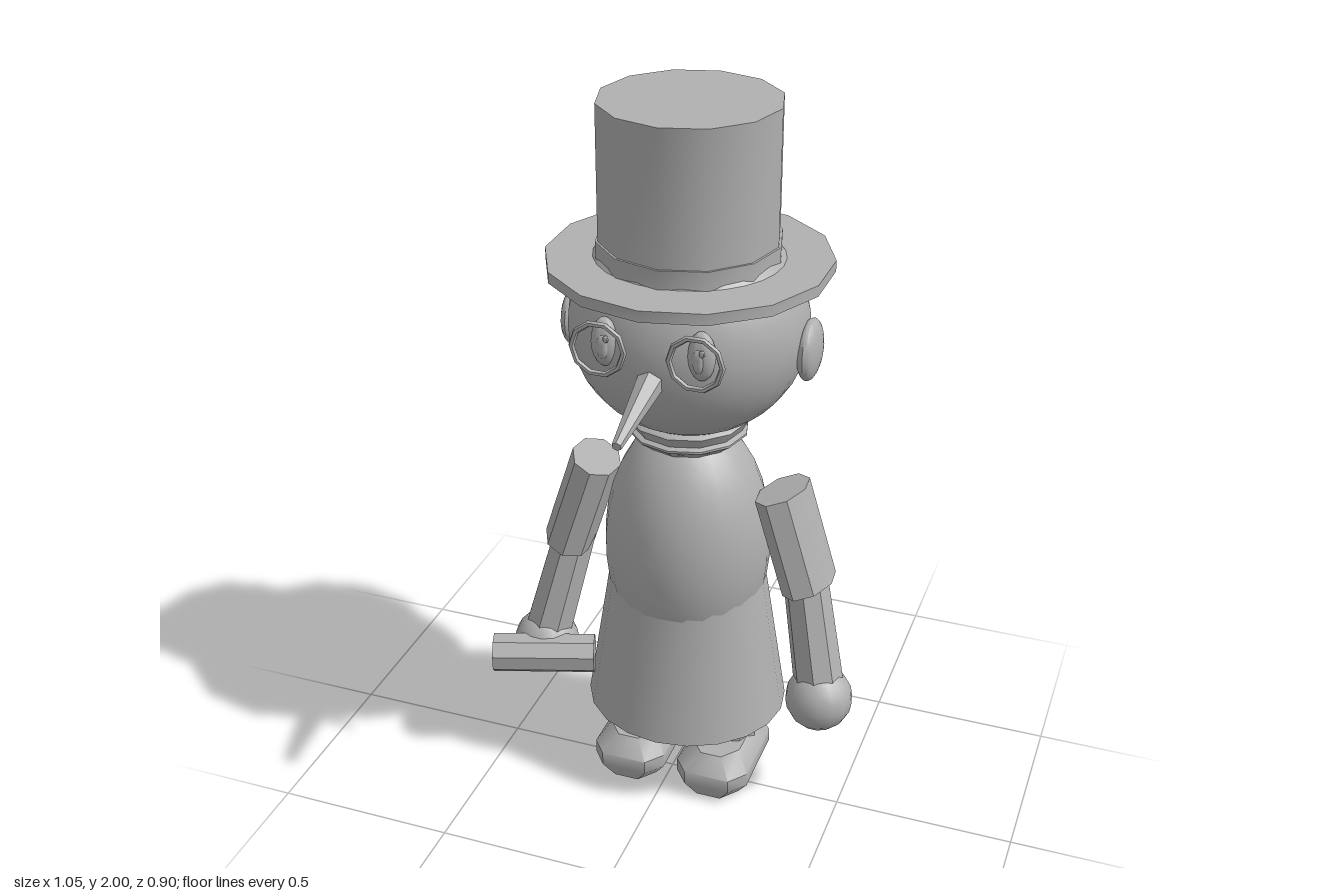
import * as THREE from 'three';
import { toCreasedNormals } from 'three/addons/utils/BufferGeometryUtils.js';
import { ConvexGeometry } from 'three/addons/geometries/ConvexGeometry.js';

const CX = 0.018, CZ = -0.075; // axis of the body

export function createModel() {
  const model = new THREE.Group();
  model.name = 'figure';
  const grey = new THREE.MeshStandardMaterial({ color: 0xb0b0b0 });
  grey.name = 'grey';

  const add = (name, geo, x = 0, y = 0, z = 0) => {
    const mesh = new THREE.Mesh(toCreasedNormals(geo, 0.7), grey);
    mesh.name = name;
    mesh.position.set(x, y, z);
    model.add(mesh);
    return mesh;
  };
  const ball = (name, x, y, z, rx, ry, rz, seg = 20) =>
    add(name, new THREE.SphereGeometry(1, seg, Math.round(seg * 0.7)).scale(rx, ry, rz), x, y, z);
  const drum = (name, rTop, rBottom, y0, y1, sides) =>
    add(name, new THREE.CylinderGeometry(rTop, rBottom, y1 - y0, sides), CX, (y0 + y1) / 2, CZ);
  // Tapered rod running from point a to point b
  const rod = (name, a, b, ra, rb, sides, depth = 1) => {
    const from = new THREE.Vector3(...a), to = new THREE.Vector3(...b);
    const dir = to.clone().sub(from);
    const geo = new THREE.CylinderGeometry(rb, ra, dir.length(), sides).scale(1, 1, depth);
    const mesh = add(name, geo);
    mesh.position.copy(from).add(to).multiplyScalar(0.5);
    mesh.quaternion.setFromUnitVectors(new THREE.Vector3(0, 1, 0), dir.normalize());
    return mesh;
  };

  // Top hat
  drum('hatBrim', 0.372, 0.372, 1.565, 1.595, 14);
  drum('hatBand', 0.241, 0.241, 1.59, 1.645, 12);
  drum('hatCrown', 0.235, 0.235, 1.59, 2, 12);

  // Head and nose
  ball('head', CX, 1.41, CZ, 0.317, 0.3, 0.3, 28);
  rod('nose', [CX, 1.372, 0.19], [CX, 1.305, 0.445], 0.038, 0.013, 6);

  // Collar of two rings
  const collar = [[0.1, 1.16], [0.15, 1.155], [0.167, 1.142], [0.15, 1.112],
    [0.163, 1.106], [0.163, 1.1], [0.125, 1.07], [0.1, 1.07]].reverse();
  add('collar', new THREE.LatheGeometry(collar.map(p => new THREE.Vector2(...p)), 12), CX, 0, CZ);

  // Body and coat skirt
  ball('body', CX, 0.75, CZ, 0.23, 0.38, 0.23, 24);
  drum('skirt', 0.218, 0.285, 0.23, 0.66, 20).scale.z = 0.94;

  // Chamfered block foot, lofted from octagon rings
  const footPoints = [];
  for (const [w, d, y] of [[0.075, 0.14, 0], [0.105, 0.16, 0.045], [0.105, 0.16, 0.085], [0.07, 0.12, 0.135]]) {
    for (const sx of [-1, 1]) for (const sz of [-1, 1]) {
      footPoints.push(new THREE.Vector3(sx * w, y, sz * (d - 0.05)), new THREE.Vector3(sx * (w - 0.04), y, sz * d));
    }
  }

  for (const s of [-1, 1]) {
    const side = s > 0 ? 'left' : 'right';
    const x = d => CX + s * d;

    // Ears, eyes and spectacles
    ball(side + 'Ear', x(0.323), 1.373, -0.087, 0.03, 0.083, 0.077);
    ball(side + 'Eye', x(0.127), 1.45, 0.195, 0.036, 0.066, 0.028, 14);
    ball(side + 'Pupil', x(0.125), 1.445, 0.217, 0.016, 0.034, 0.01, 10);
    ball(side + 'EyeGlint', x(0.125) + 0.012, 1.47, 0.224, 0.008, 0.01, 0.005, 8);
    add(side + 'Lens rim', new THREE.TorusGeometry(0.069, 0.008, 6, 10), x(0.127), 1.45, 0.243);

    // Arms and hands
    rod(side + 'UpperArm', [x(0.267), 0.955, -0.073], [x(0.354), 0.68, -0.065], 0.07, 0.07, 8, 1.38);
    rod(side + 'Forearm', [x(0.335), 0.715, -0.08], [x(0.405), 0.4, -0.018], 0.062, 0.07, 8);
    ball(side + 'Hand', x(0.411), 0.352, -0.008, 0.094, 0.094, 0.094, 14);

    // Legs and feet
    add(side + 'Leg', new THREE.CylinderGeometry(0.087, 0.087, 0.2, 8), x(0.123), 0.2, -0.07);
    add(side + 'Foot', new ConvexGeometry(footPoints), x(0.126), 0, -0.04);
  }

  // Short stick held in the right hand
  rod('stick', [-0.51, 0.352, 0.105], [-0.235, 0.352, 0.012], 0.057, 0.057, 8);

  return model;
}
